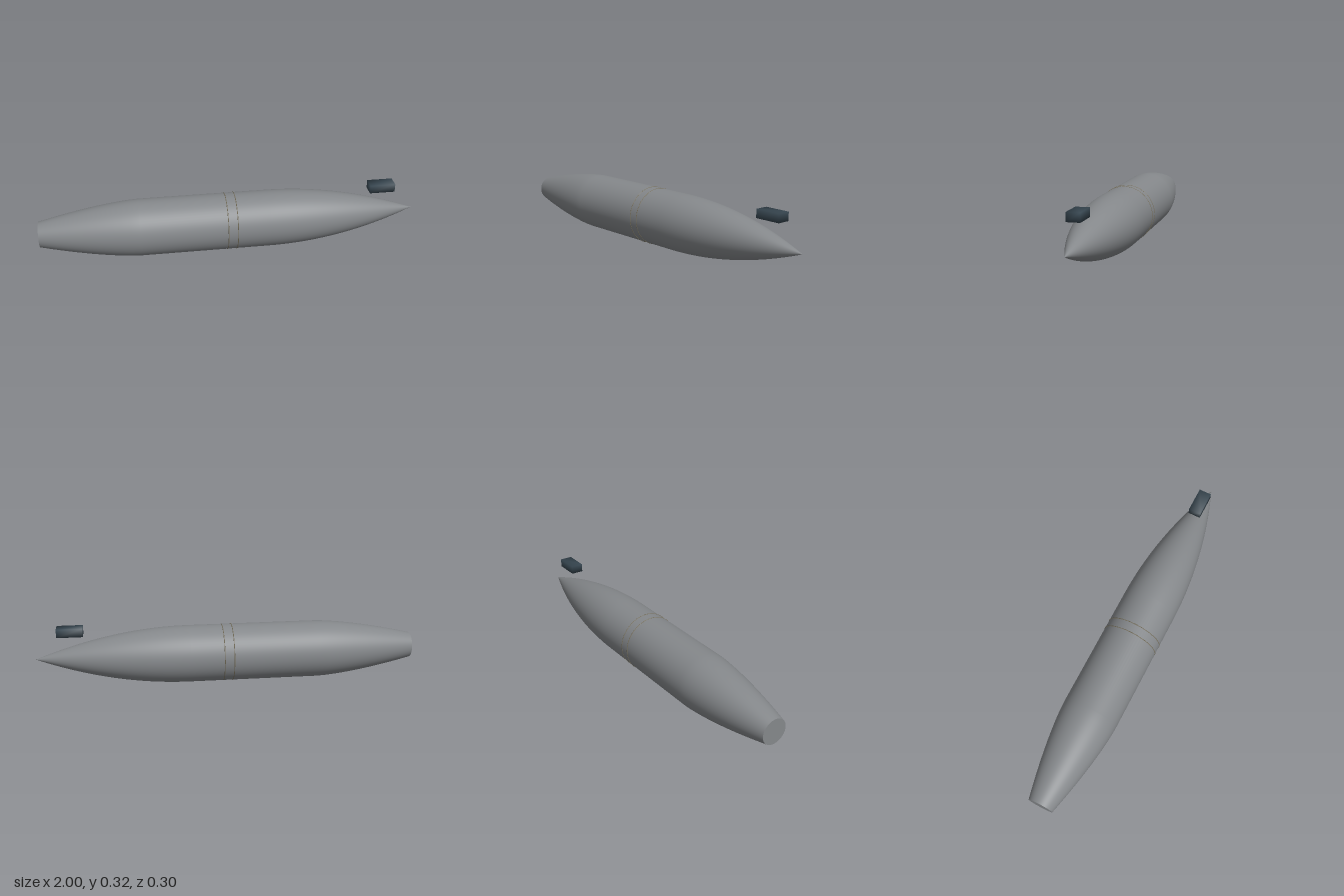
import * as THREE from 'three';
import { mergeVertices } from 'three/addons/utils/BufferGeometryUtils.js';

const R = 0.15, AXIS_Y = 0.152;

export function createModel() {
  const grey = new THREE.MeshStandardMaterial({ name: 'hull grey', color: 0x85888b });
  const slate = new THREE.MeshStandardMaterial({ name: 'dark slate', color: 0x36454f });
  const tan = new THREE.MeshStandardMaterial({ name: 'seam tan', color: 0x77705c });
  const model = new THREE.Group();
  model.name = 'hull';

  const add = (name, geometry, material, x, y) => {
    const mesh = new THREE.Mesh(geometry, material);
    mesh.name = name;
    mesh.position.set(x, y, 0);
    model.add(mesh);
    return mesh;
  };

  // Body of revolution: tapered tail, straight middle, pointed nose
  const profile = [];
  for (let i = 0; i <= 12; i++) {
    const t = 1 - i / 12;
    profile.push(new THREE.Vector2(R - 0.083 * t ** 1.5, -0.48 - 0.52 * t));
  }
  for (let i = 0; i <= 24; i++) {
    const t = i / 24;
    profile.push(new THREE.Vector2(R * (1 - t * t), 0.2 + 0.8 * t));
  }
  const body = new THREE.LatheGeometry(profile, 64);
  body.rotateZ(-Math.PI / 2);
  add('body', body, grey, 0, AXIS_Y);

  // Flat tail disc
  const tail = new THREE.CircleGeometry(0.067, 64);
  tail.rotateY(-Math.PI / 2);
  add('tailDisc', tail, grey, -1, AXIS_Y);

  // Two fine seams around the middle
  for (const x of [-0.025, 0.025]) {
    const seam = new THREE.TorusGeometry(R, 0.002, 8, 64);
    seam.rotateY(Math.PI / 2);
    add('seamRing', seam, tan, x, AXIS_Y);
  }

  // Small softly shaded block above the nose
  let block = new THREE.BoxGeometry(0.135, 0.044, 0.067);
  block.deleteAttribute('normal');
  block.deleteAttribute('uv');
  block = mergeVertices(block);
  block.computeVertexNormals();
  add('noseBlock', block, slate, 0.817, 0.299);

  return model;
}
